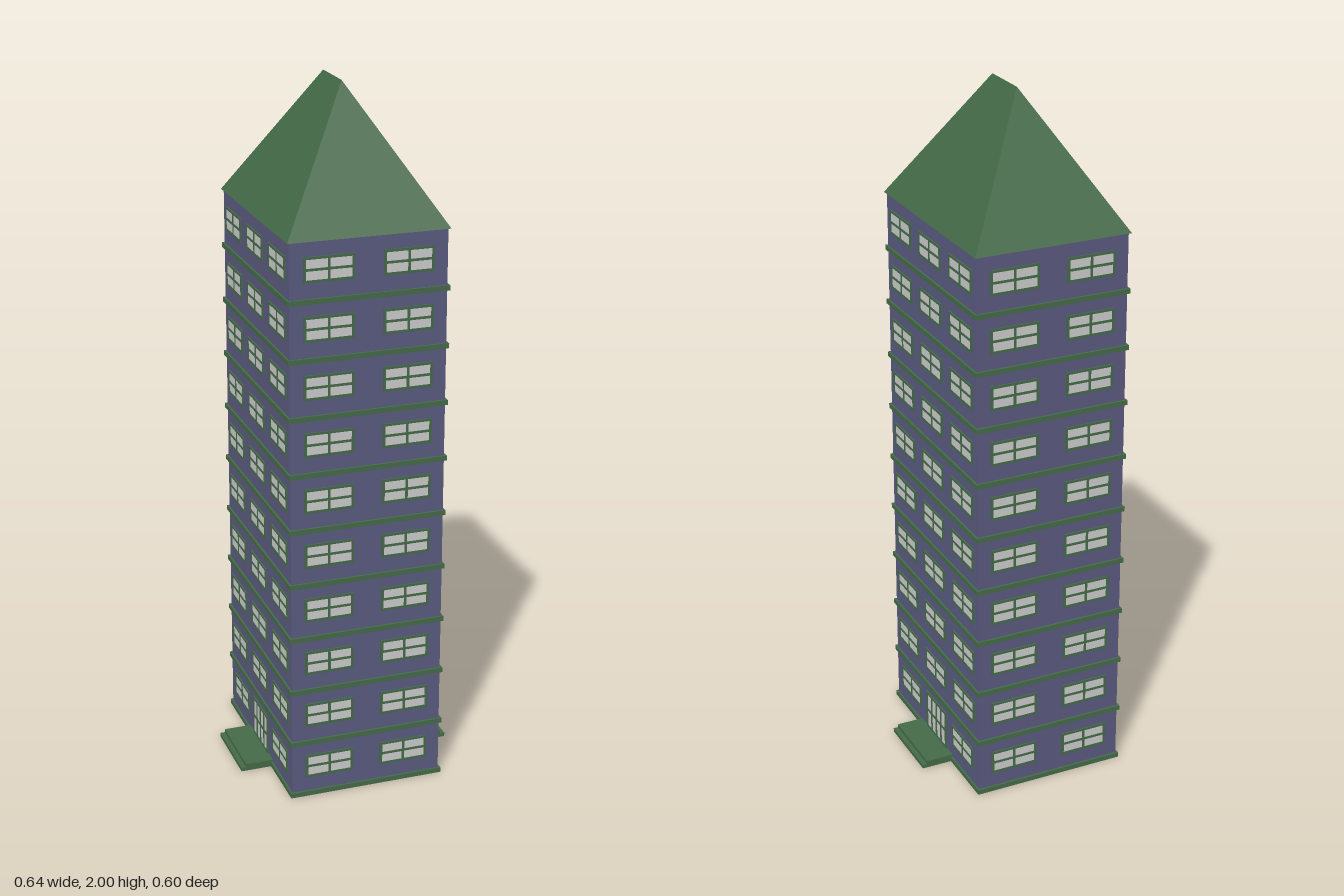
import * as THREE from 'three';

const HX = 0.222, HZ = 0.295;         // half size of the walls
const OX = 0.228, OZ = 0.302;         // half size of trims and eaves
const FLOORS = 10, STEP = 0.1627, TOP = 1.634;

const mat = (color, extra = {}) =>
  new THREE.MeshStandardMaterial({ color, flatShading: true, side: THREE.DoubleSide, ...extra });
const wallMat = mat(0x5a5a80);
const greenMat = mat(0x446a48);
const paneMat = mat(0xcccccc);

function rect(Type, x0, y0, x1, y1) {
  const p = new Type();
  p.moveTo(x0, y0);
  p.lineTo(x1, y0);
  p.lineTo(x1, y1);
  p.lineTo(x0, y1);
  p.closePath();
  return p;
}

function addMesh(parent, name, geometry, material, x = 0, y = 0, z = 0) {
  const m = new THREE.Mesh(geometry, material);
  m.name = name;
  m.position.set(x, y, z);
  parent.add(m);
  return m;
}

// Frame with a grid of openings, centred on the origin and facing +z
function frameGeometry(w, h, cols, rows, bar) {
  const shape = rect(THREE.Shape, -w / 2, -h / 2, w / 2, h / 2);
  const cw = (w - bar * (cols + 1)) / cols, ch = (h - bar * (rows + 1)) / rows;
  for (let c = 0; c < cols; c++) {
    for (let r = 0; r < rows; r++) {
      const x = -w / 2 + bar + c * (cw + bar), y = -h / 2 + bar + r * (ch + bar);
      shape.holes.push(rect(THREE.Path, x, y, x + cw, y + ch));
    }
  }
  return new THREE.ExtrudeGeometry(shape, { depth: 0.004, bevelEnabled: false });
}

// Flat ring around the walls
function ringGeometry(height) {
  const shape = rect(THREE.Shape, -OX, -OZ, OX, OZ);
  shape.holes.push(rect(THREE.Path, -HX + 0.004, -HZ + 0.004, HX - 0.004, HZ - 0.004));
  return new THREE.ExtrudeGeometry(shape, { depth: height, bevelEnabled: false }).rotateX(-Math.PI / 2);
}

// Hipped roof: eaves rectangle rising to a ridge along z
function roofGeometry() {
  const R = 0.075;
  const a = [-OX, TOP, OZ], b = [OX, TOP, OZ], c = [OX, TOP, -OZ], d = [-OX, TOP, -OZ];
  const f = [0, 2, R], k = [0, 2, -R];
  const tris = [a, b, f, c, d, k, b, c, k, b, k, f, d, a, f, d, f, k, a, d, c, a, c, b];
  const g = new THREE.BufferGeometry();
  g.setAttribute('position', new THREE.Float32BufferAttribute(tris.flat(), 3));
  g.computeVertexNormals();
  return g;
}

export function createModel() {
  const model = new THREE.Group();
  model.name = 'towerBlock';

  // Hollow walls, open underneath
  const outline = rect(THREE.Shape, -HX, -HZ, HX, HZ);
  outline.holes.push(rect(THREE.Path, -HX + 0.001, -HZ + 0.001, HX - 0.001, HZ - 0.001));
  addMesh(model, 'walls',
    new THREE.ExtrudeGeometry(outline, { depth: TOP, bevelEnabled: false }).rotateX(-Math.PI / 2), wallMat);
  addMesh(model, 'roof', roofGeometry(), greenMat);

  // Trim ring at the foot of every floor
  const ring = ringGeometry(0.014);
  for (let i = 0; i < FLOORS; i++) addMesh(model, 'floorTrim', ring, greenMat, 0, i * STEP, 0);

  // Shared window and door geometry
  const W = 0.142, H = 0.07, DW = 0.14, DH = 0.122;
  const windowFrame = frameGeometry(W, H, 2, 2, 0.007);
  const windowPane = new THREE.BoxGeometry(W - 0.004, H - 0.004, 0.005);
  const doorFrame = frameGeometry(DW, DH, 4, 2, 0.008);
  const doorPane = new THREE.BoxGeometry(DW - 0.004, DH - 0.004, 0.005);

  function opening(parent, name, frame, pane, x, y) {
    const g = new THREE.Group();
    g.name = name;
    g.position.set(x, y, 0);
    addMesh(g, name + 'Frame', frame, greenMat);
    addMesh(g, name + 'Pane', pane, paneMat);
    parent.add(g);
  }

  // Four facades: the wide sides carry three columns, with a door on the ground floor
  for (let s = 0; s < 4; s++) {
    const wide = s % 2 === 1;
    const angle = s * Math.PI / 2, out = wide ? HX : HZ;
    const facade = new THREE.Group();
    facade.name = ['front', 'left', 'back', 'right'][s] + 'Facade';
    facade.rotation.y = angle;
    facade.position.set(Math.sin(angle) * out, 0, Math.cos(angle) * out);
    for (let i = 0; i < FLOORS; i++) {
      const y = i * STEP + 0.093;
      const columns = !wide ? [-0.112, 0.112] : i === 0 ? [-0.185, 0.185] : [-0.198, 0, 0.198];
      for (const x of columns) opening(facade, 'window', windowFrame, windowPane, x, y);
    }
    if (wide) {
      opening(facade, 'door', doorFrame, doorPane, 0, 0.08);
      // Two shallow entrance steps
      addMesh(facade, 'lowerStep', new THREE.BoxGeometry(0.22, 0.011, 0.096), greenMat, 0, 0.0055, 0.048);
      addMesh(facade, 'upperStep', new THREE.BoxGeometry(0.22, 0.01, 0.082), greenMat, 0, 0.016, 0.041);
    }
    model.add(facade);
  }
  return model;
}
